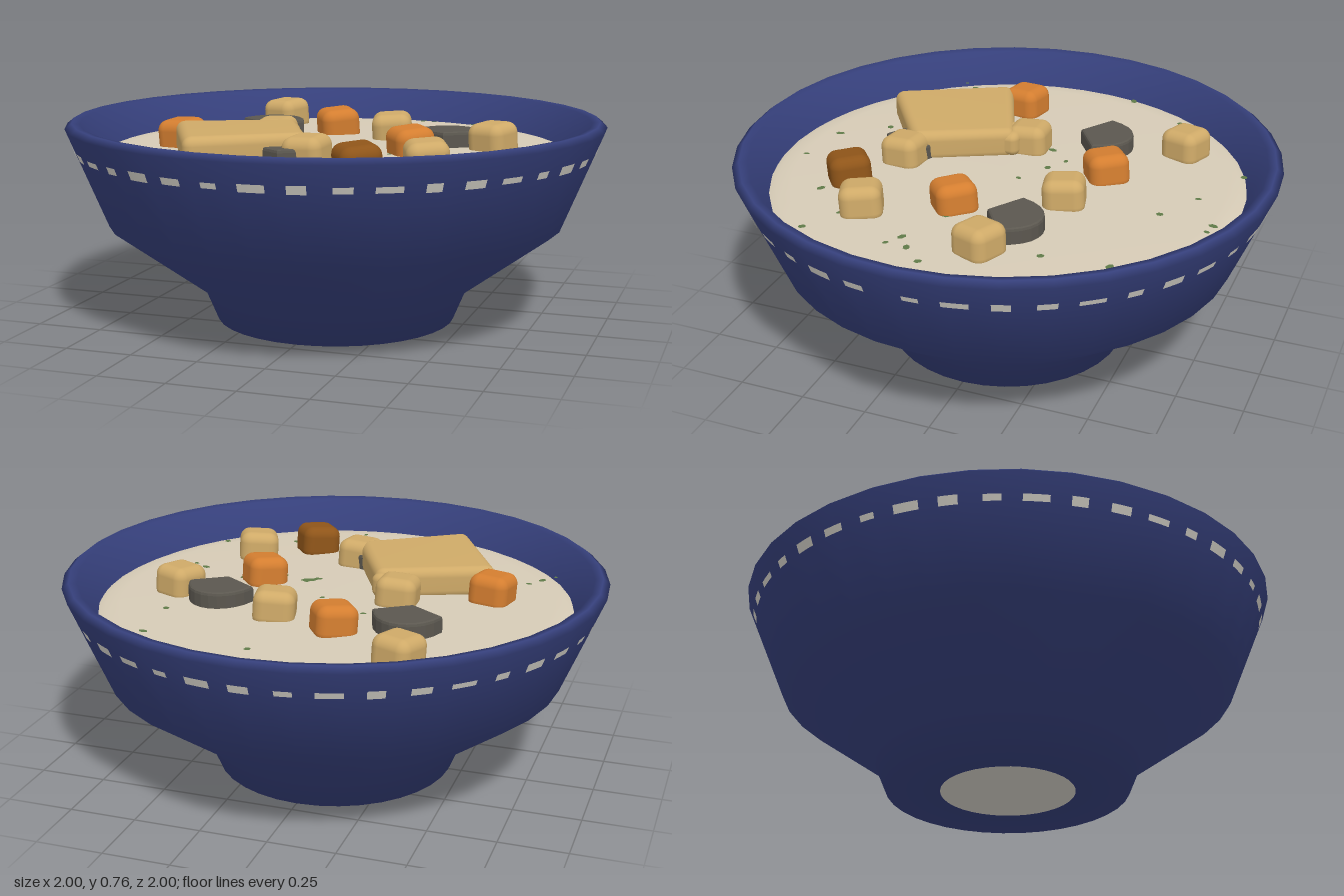
import * as THREE from 'three';
import { mergeVertices } from 'three/addons/utils/BufferGeometryUtils.js';
import { RoundedBoxGeometry } from 'three/addons/geometries/RoundedBoxGeometry.js';

const material = (name, color, side = THREE.FrontSide) => {
  const m = new THREE.MeshStandardMaterial({ color, side });
  m.name = name;
  return m;
};

const lathe = (pts, segments, start, length) =>
  new THREE.LatheGeometry(pts.map(([r, y]) => new THREE.Vector2(r, y)), segments, start, length);

// Height of the gently domed soup surface at radius r
const soupY = (r) => 0.65 - 0.012 * r * r;

// Soft-edged block whose plan is warped onto four corners [x, z], ordered back left, back right, front right, front left
function warpedBlock(corners, height, radius) {
  const g = new RoundedBoxGeometry(1, 1, 1, 4, 0.01);
  const size = 0.44;
  const block = new RoundedBoxGeometry(size, height, size, 4, radius);
  g.dispose();
  const p = block.attributes.position;
  const [a, b, c, d] = corners;
  for (let i = 0; i < p.count; i++) {
    const u = p.getX(i) / size + 0.5, v = p.getZ(i) / size + 0.5;
    const mix = (k) => (1 - v) * ((1 - u) * a[k] + u * b[k]) + v * ((1 - u) * d[k] + u * c[k]);
    p.setX(i, mix(0));
    p.setZ(i, mix(1));
  }
  block.deleteAttribute('normal');
  block.deleteAttribute('uv');
  const smooth = mergeVertices(block, 1e-4);
  smooth.computeVertexNormals();
  return smooth;
}

export function createModel() {
  const model = new THREE.Group();
  const blue = material('blue glaze', 0x36407c);
  const white = material('white glaze', 0xd8d5cc, THREE.DoubleSide);
  const cream = material('cream soup', 0xd6cbb6);
  const tan = material('tan bread', 0xcfaa68);
  const orange = material('orange carrot', 0xd47e30);
  const brown = material('brown crust', 0x8f5519);
  const grey = material('grey mushroom', 0x5b574f);
  const green = material('green herb', 0x5f7a48, THREE.DoubleSide);

  const add = (name, geometry, mat, parent = model) => {
    const mesh = new THREE.Mesh(geometry, mat);
    mesh.name = name;
    parent.add(mesh);
    return mesh;
  };
  const addGroup = (name) => {
    const g = new THREE.Group();
    g.name = name;
    model.add(g);
    return g;
  };

  // Bowl: foot, flared wall, rim and inner wall in one profile
  add('bowl', lathe([
    [0.25, 0], [0.45, 0], [0.5, 0.12], [0.85, 0.375], [1, 0.74],
    [0.975, 0.76], [0.945, 0.755], [0.88, 0.635], [0.85, 0.56],
  ], 36), blue);
  add('unglazedBase', lathe([[0, 0], [0.25, 0]], 36), white);

  // Dashed band under the rim, with a wider gap on the left side
  const dashes = addGroup('dashBand');
  const wallRadius = (y) => 0.85 + 0.15 * (y - 0.375) / 0.365 + 0.002;
  for (let i = 0; i < 41; i++) {
    const angle = Math.PI / 2 - (0.16 + i * 0.1518);
    const length = 0.075 + 0.02 * Math.sin(i * 2.3);
    const half = 0.013 + 0.003 * Math.sin(i * 1.7);
    const ys = [0.655 - half, 0.655 + half];
    add('dash', lathe(ys.map((y) => [wallRadius(y), y]), 3, angle - length / 2, length), white, dashes);
  }

  // Soup, rolling off at its edge
  const soupProfile = [0.85, 0.8, 0.6, 0.3, 0].map((r) => [r, soupY(r)]);
  add('soup', lathe([[0.885, 0.625], ...soupProfile], 48), cream);

  // Floating cubes: x, z, turn
  const cube = new RoundedBoxGeometry(0.152, 0.135, 0.152, 4, 0.04);
  const cubes = (name, mat, list) => {
    const group = addGroup(name + 's');
    list.forEach(([x, z, turn]) => {
      const mesh = add(name, cube, mat, group);
      mesh.position.set(x, 0.68, z);
      mesh.rotation.set(0.06, turn, 0.05);
    });
  };
  cubes('breadCube', tan, [
    [-0.407, -0.565, -0.35], [0.14, -0.27, 0.25], [0.573, -0.122, -0.4],
    [0.453, 0.376, 0.4], [-0.238, 0.005, 0.05], [0.03, 0.402, -0.1],
  ]);
  cubes('carrotCube', orange, [[-0.107, -0.345, 0.6], [0.313, 0.082, 0.7], [-0.562, 0.142, -0.2]]);
  cubes('crustCube', brown, [[0.252, 0.526, 0.65]]);

  // Large bread slice with a small crumb at its back corner
  const slice = add('breadSlice', warpedBlock(
    [[-0.565, 0.2], [-0.145, 0.03], [0.025, 0.375], [-0.345, 0.625]], 0.12, 0.035), tan);
  slice.position.y = 0.69;
  const crumb = add('breadCrumb', cube, tan);
  crumb.scale.set(0.95, 0.7, 0.7);
  crumb.position.set(-0.2, 0.69, 0.07);

  // Mushroom slices: rounded fans pointing to the front
  const fan = new THREE.Shape();
  fan.moveTo(0, 0);
  fan.lineTo(0.118, 0.078);
  fan.bezierCurveTo(0.08, 0.225, -0.08, 0.225, -0.118, 0.078);
  fan.closePath();
  const fanGeometry = new THREE.ExtrudeGeometry(fan, {
    depth: 0.06, curveSegments: 10, bevelThickness: 0.012, bevelSize: 0.008, bevelSegments: 2,
  });
  fanGeometry.rotateX(-Math.PI / 2);
  const mushrooms = addGroup('mushroomSlices');
  [[-0.345, -0.175], [0.393, -0.088], [-0.04, 0.505]].forEach(([x, z]) => {
    add('mushroomSlice', fanGeometry, grey, mushrooms).position.set(x, 0.635, z);
  });

  // Herb flecks: x, z
  const herbs = addGroup('herbFlecks');
  const fleck = new THREE.CircleGeometry(0.014, 6).rotateX(-Math.PI / 2);
  [
    [-0.29, -0.82], [0.12, -0.81], [0.17, -0.8], [0.34, -0.78], [0.375, -0.755], [-0.055, -0.71],
    [0.11, -0.615], [0.52, -0.565], [-0.665, -0.47], [0.54, -0.33], [-0.81, -0.235], [-0.16, -0.17],
    [-0.085, -0.125], [-0.235, -0.09], [0.035, -0.055], [0.135, 0.13], [0.155, 0.11], [0.25, 0.145],
    [0.4, 0.075], [0.59, 0.155], [0.645, 0.19], [0.72, 0.035], [0.65, 0.11], [-0.655, 0.36],
    [-0.53, 0.37], [-0.695, 0.42], [-0.74, 0.48], [-0.205, 0.58], [-0.085, 0.74], [0.125, 0.775],
    [0.115, 0.655], [0.365, 0.585], [0.51, 0.435], [0.645, 0.51], [0.12, 0.145],
  ].forEach(([x, z], i) => {
    const mesh = add('herbFleck', fleck, green, herbs);
    mesh.position.set(x, soupY(Math.hypot(x, z)) + 0.003, z);
    mesh.rotation.y = i * 1.3;
    mesh.scale.set(1 + 0.4 * Math.sin(i * 2.1), 1, 0.9);
  });
  // Largest herb leaf near the middle
  const leaf = add('herbLeaf', fleck, green, herbs);
  leaf.position.set(0.148, soupY(0.19) + 0.004, 0.118);
  leaf.rotation.y = 0.4;
  leaf.scale.set(2.4, 1, 1.3);

  return model;
}
